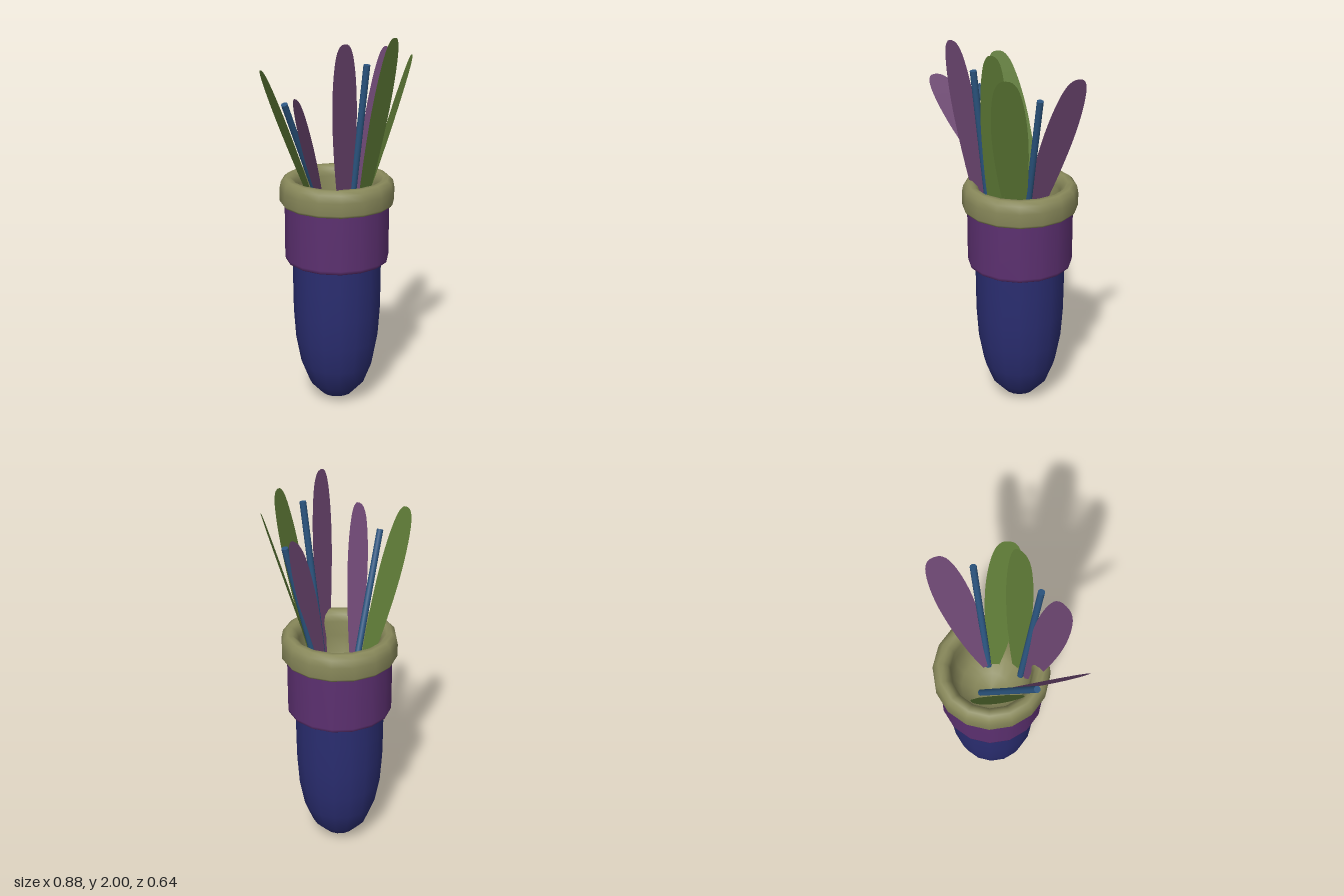
import * as THREE from 'three';

const COLORS = {
  body: 0x2a2d70, band: 0x5c3070, rim: 0x88885a,
  purple: 0x6f4874, green: 0x5e7a36, stalk: 0x2b5580,
};
const v3 = (a) => new THREE.Vector3(...a);

function mesh(name, geometry, color, doubleSided = false) {
  const material = new THREE.MeshStandardMaterial({ color });
  if (doubleSided) material.side = THREE.DoubleSide;
  const m = new THREE.Mesh(geometry, material);
  m.name = name;
  return m;
}

// Turned part from [radius, height] pairs
function turned(name, profile, color) {
  const points = profile.map(([r, y]) => new THREE.Vector2(r, y));
  return mesh(name, new THREE.LatheGeometry(points, 16), color);
}

// Straight round rod between two points
function stalk(from, to) {
  const a = v3(from), axis = v3(to).sub(a);
  const m = mesh('stalk', new THREE.CylinderGeometry(0.017, 0.017, axis.length(), 10), COLORS.stalk);
  m.position.copy(a).addScaledVector(axis, 0.5);
  m.quaternion.setFromUnitVectors(new THREE.Vector3(0, 1, 0), axis.normalize());
  return m;
}

// Half outline of a blade: [share of half width, share of length]
const BLADE = [[0.25, 0], [0.55, 0.15], [0.8, 0.33], [0.96, 0.52], [1, 0.68], [0.9, 0.83], [0.68, 0.94], [0.36, 0.99], [0, 1]];

// Flat blade from base to tip, spread along a horizontal direction (x, z)
function leaf(name, color, base, tip, [sx, sz], halfWidth = 0.088) {
  const half = BLADE.map(([w, t]) => new THREE.Vector2(w * halfWidth, t));
  const right = new THREE.SplineCurve(half).getPoints(24);
  const left = right.slice(0, -1).reverse().map((p) => new THREE.Vector2(-p.x, p.y));
  const geometry = new THREE.ShapeGeometry(new THREE.Shape([...right, ...left]));
  const side = new THREE.Vector3(sx, 0, sz).normalize();
  const axis = v3(tip).sub(v3(base));
  const normal = side.clone().cross(axis).normalize();
  geometry.applyMatrix4(new THREE.Matrix4().makeBasis(side, axis, normal).setPosition(v3(base)));
  geometry.computeVertexNormals();
  return mesh(name, geometry, color, true);
}

// Each sprout: a stalk with a purple and a green leaf
const SPROUTS = [
  {
    name: 'frontSprout',
    stalk: [[-0.035, 1.0, 0.125], [-0.035, 1.88, 0.237]],
    purple: [[-0.07, 1.0, 0.13], [-0.195, 2.0, 0.23], [1, 0], 0.092],
    green: [[0.02, 1.0, 0.14], [0.135, 1.995, 0.272], [1, -0.1], 0.085],
  },
  {
    name: 'leftSprout',
    stalk: [[0.125, 0.98, 0.045], [0.31, 1.78, 0.125]],
    purple: [[0.12, 1.0, 0.03], [0.43, 1.885, -0.01], [-0.35, 0.93]],
    green: [[0.1, 1.0, 0.07], [0.25, 1.9, 0.295], [0.7, -0.7]],
  },
  {
    name: 'rightSprout',
    stalk: [[0.025, 1.03, -0.1], [-0.32, 1.69, -0.05]],
    purple: [[0.02, 1.0, -0.09], [-0.435, 1.76, 0.135], [-0.42, 0.91]],
    green: [[0.03, 1.0, -0.14], [-0.325, 1.84, -0.2], [-0.45, 0.89]],
  },
];

export function createModel() {
  const model = new THREE.Group();
  model.name = 'pottedSprouts';

  // Pot: rounded body, band and rolled rim with a hollow bowl
  const pot = new THREE.Group();
  pot.name = 'pot';
  pot.position.set(0.035, 0, -0.015);
  pot.add(
    turned('potBody', [[0, 0], [0.085, 0.03], [0.15, 0.1], [0.195, 0.215], [0.222, 0.36],
      [0.233, 0.52], [0.235, 0.68], [0.235, 0.82]], COLORS.body),
    turned('potBand', [[0.225, 0.803], [0.262, 0.803], [0.272, 0.81], [0.275, 0.825],
      [0.275, 1.1], [0.275, 1.13]], COLORS.band),
    turned('potRim', [[0.265, 1.115], [0.292, 1.117], [0.301, 1.13], [0.301, 1.195], [0.293, 1.235],
      [0.27, 1.254], [0.245, 1.254], [0.222, 1.235], [0.21, 1.2], [0.207, 1.12], [0.195, 1.03],
      [0.16, 0.96], [0.09, 0.91], [0, 0.895]], COLORS.rim),
  );
  model.add(pot);

  for (const s of SPROUTS) {
    const sprout = new THREE.Group();
    sprout.name = s.name;
    sprout.add(
      stalk(...s.stalk),
      leaf('purpleLeaf', COLORS.purple, ...s.purple),
      leaf('greenLeaf', COLORS.green, ...s.green),
    );
    model.add(sprout);
  }
  return model;
}
